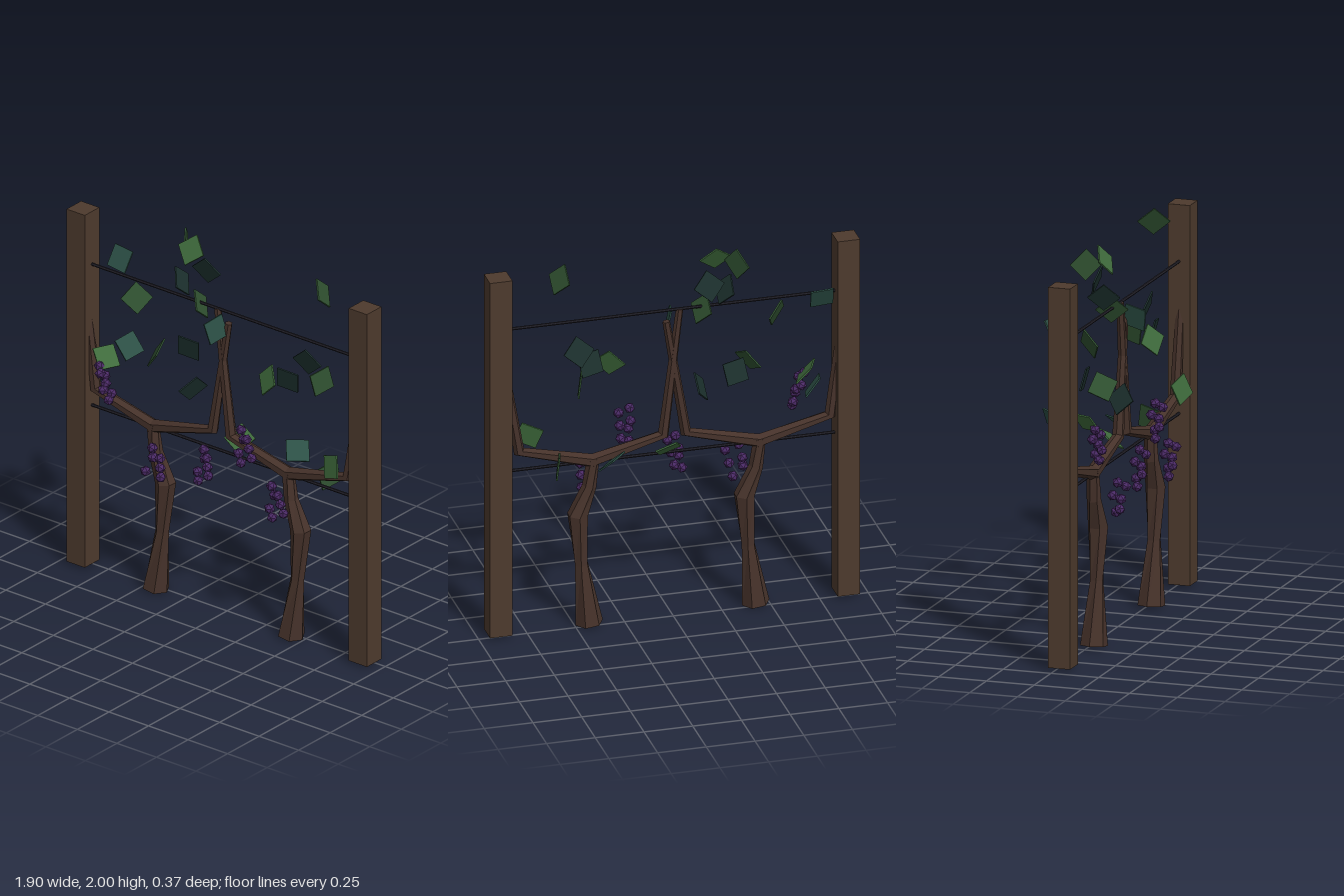
import * as THREE from 'three';

const mat = (color) => new THREE.MeshStandardMaterial({ color, flatShading: true });
const POST = mat(0x4d3a2d), BARK = mat(0x46322a), WIRE = mat(0x222028), GRAPE = mat(0x4b2a66);
const LIGHT = mat(0x3f6b3c), GREEN = mat(0x2f5030), TEAL = mat(0x2c4f45), DARK = mat(0x1c302d);
const Z = 0.025; // plane of posts, wires and vines

function add(parent, name, geometry, material, x = 0, y = 0, z = 0) {
  const mesh = new THREE.Mesh(geometry, material);
  mesh.name = name;
  mesh.position.set(x, y, z);
  parent.add(mesh);
  return mesh;
}

function addGroup(parent, name) {
  const group = new THREE.Group();
  group.name = name;
  parent.add(group);
  return group;
}

// Tapered six-sided branch in the xy plane; rings are [x, y, radius]
function branch(rings, twist = 0) {
  const pos = [], idx = [], n = rings.length, sides = 6;
  rings.forEach(([x, y, r], i) => {
    const a = rings[Math.max(i - 1, 0)], b = rings[Math.min(i + 1, n - 1)];
    const t = new THREE.Vector2(b[0] - a[0], b[1] - a[1]).normalize();
    for (let j = 0; j < sides; j++) {
      const p = (j / sides) * Math.PI * 2 + i * twist;
      const c = Math.cos(p) * r;
      pos.push(x + t.y * c, y - t.x * c, -Math.sin(p) * r);
    }
  });
  for (let i = 0; i < n - 1; i++)
    for (let j = 0; j < sides; j++) {
      const k = (j + 1) % sides;
      const a = i * sides + j, b = i * sides + k, c = a + sides, d = b + sides;
      idx.push(a, b, d, a, d, c);
    }
  // End caps
  const e = (n - 1) * sides;
  for (let j = 1; j < sides - 1; j++) idx.push(0, j + 1, j, e, e + j, e + j + 1);
  const g = new THREE.BufferGeometry();
  g.setAttribute('position', new THREE.Float32BufferAttribute(pos, 3));
  g.setIndex(idx);
  g.computeVertexNormals();
  return g;
}

// Square leaves that share a colour, a facing (x and y of the normal) and an edge angle
const leafGeo = new THREE.BoxGeometry(0.115, 0.115, 0.008);
function addLeaves(parent, material, nx, ny, degrees, centres) {
  const n = new THREE.Vector3(nx, ny, Math.sqrt(1 - nx * nx - ny * ny));
  const a = THREE.MathUtils.degToRad(degrees), c = Math.cos(a), s = Math.sin(a);
  const u = new THREE.Vector3(c, s, -(c * n.x + s * n.y) / n.z).normalize();
  const v = new THREE.Vector3().crossVectors(n, u);
  const turn = new THREE.Matrix4().makeBasis(u, v, n);
  for (const p of centres) add(parent, 'leaf', leafGeo, material, ...p).quaternion.setFromRotationMatrix(turn);
}

// Bunch of berries zigzagging down from (x0, y0) to (x1, y1)
const berryGeo = new THREE.IcosahedronGeometry(0.028, 0);
function addBunch(parent, x0, y0, x1, y1, zigzag, count) {
  const bunch = addGroup(parent, 'grapeBunch');
  for (let i = 0; i < count; i++) {
    const t = i / (count - 1), side = i % 2 ? 1 : -1;
    const x = THREE.MathUtils.lerp(x0, x1, t) + side * zigzag;
    const z = 0.128 + 0.024 * Math.sin(i * 2.1);
    add(bunch, 'grape', berryGeo, GRAPE, x, THREE.MathUtils.lerp(y0, y1, t), z).rotation.set(i, i * 2, 0);
  }
}

export function createModel() {
  const model = new THREE.Group();
  model.name = 'grapeTrellis';

  // Posts
  const postGeo = new THREE.BoxGeometry(0.115, 1.94, 0.115);
  add(model, 'leftPost', postGeo, POST, 0.892, 0.98, Z);
  add(model, 'rightPost', postGeo, POST, -0.892, 0.98, Z);

  // Wires between the posts
  const wireGeo = new THREE.CylinderGeometry(0.008, 0.008, 1.72, 6).rotateZ(Math.PI / 2);
  add(model, 'lowerWire', wireGeo, WIRE, 0, 0.885, Z);
  add(model, 'upperWire', wireGeo, WIRE, 0, 1.66, Z);

  // Two identical vines: a trunk and two bent arms
  const trunk = branch([[0, 0.005, 0.07], [0.04, 0.33, 0.036], [0.06, 0.6, 0.053],
    [0, 0.75, 0.036], [-0.02, 0.9, 0.032]], 0.25);
  const rightArm = branch([[0, 0.885, 0.036], [-0.38, 0.985, 0.03], [-0.464, 1.66, 0.019]]);
  const leftArm = branch([[-0.03, 0.885, 0.036], [0.36, 0.985, 0.03], [0.46, 1.6, 0.019]]);
  for (const x of [-0.43, 0.425]) {
    const vine = addGroup(model, 'vine');
    vine.position.set(x, 0, Z);
    add(vine, 'trunk', trunk, BARK);
    add(vine, 'rightArm', rightArm, BARK);
    add(vine, 'leftArm', leftArm, BARK);
  }

  // Leaves facing mostly forward
  const leaves = addGroup(model, 'leaves');
  addLeaves(leaves, DARK, 0.1, -0.3, -48, [[-0.17, 1.8, -0.05], [0.49, 1.51, -0.02]]);
  addLeaves(leaves, DARK, 0.15, -0.25, -8, [[-0.3, 1.325, -0.07], [0.415, 1.41, 0.04]]);
  addLeaves(leaves, LIGHT, 0, 0.5, -45, [[-0.22, 1.92, 0.01]]);
  addLeaves(leaves, TEAL, 0, 0.45, -5, [[-0.74, 1.68, -0.08]]);
  addLeaves(leaves, LIGHT, -0.35, 0.2, 22, [[0.72, 1.04, 0.08]]);
  addLeaves(leaves, LIGHT, -0.4, 0.35, -47, [[0.31, 1.39, 0.07]]);
  // Leaves turned to the left
  addLeaves(leaves, GREEN, 0.95, 0.12, -80, [[0.605, 0.91, -0.05], [0.51, 1.375, -0.11]]);
  addLeaves(leaves, TEAL, 0.95, 0.2, -76, [[0, 1.58, 0.09]]);
  addLeaves(leaves, TEAL, 0.75, 0.58, -52, [[-0.69, 1.21, -0.09]]);
  addLeaves(leaves, LIGHT, 0.7, 0.65, -52, [[-0.7, 1.21, 0.08]]);
  addLeaves(leaves, GREEN, 0.72, 0.36, -47, [[-0.54, 1.57, 0.04]]);
  addLeaves(leaves, DARK, 0.85, -0.4, 50, [[-0.16, 1.2, 0.07]]);
  // Leaves turned to the right
  addLeaves(leaves, GREEN, -0.84, -0.42, -50, [[-0.15, 1.65, 0.02], [0.59, 1.92, -0.02]]);
  addLeaves(leaves, DARK, -0.86, -0.43, -52, [[-0.27, 1.74, 0.02]]);
  addLeaves(leaves, GREEN, -0.84, 0, -63, [[-0.31, 1.91, -0.06]]);
  addLeaves(leaves, GREEN, -0.75, 0.5, -61, [[-0.4, 1.32, 0.06]]);
  // Leaves lying nearly flat
  addLeaves(leaves, LIGHT, 0.2, 0.75, -24, [[0.04, 0.94, -0.05]]);
  addLeaves(leaves, TEAL, 0.5, 0.75, -6, [[0.35, 0.94, -0.12]]);

  // Grapes
  const grapes = addGroup(model, 'grapes');
  addBunch(grapes, -0.7, 1.18, -0.64, 1.01, 0.006, 7);
  addBunch(grapes, -0.335, 0.83, -0.37, 0.67, 0.035, 6);
  addBunch(grapes, -0.025, 0.92, -0.06, 0.74, 0.02, 7);
  addBunch(grapes, 0.215, 1.1, 0.215, 0.92, 0.025, 7);
  addBunch(grapes, 0.41, 0.85, 0.415, 0.68, 0.027, 7);

  return model;
}
